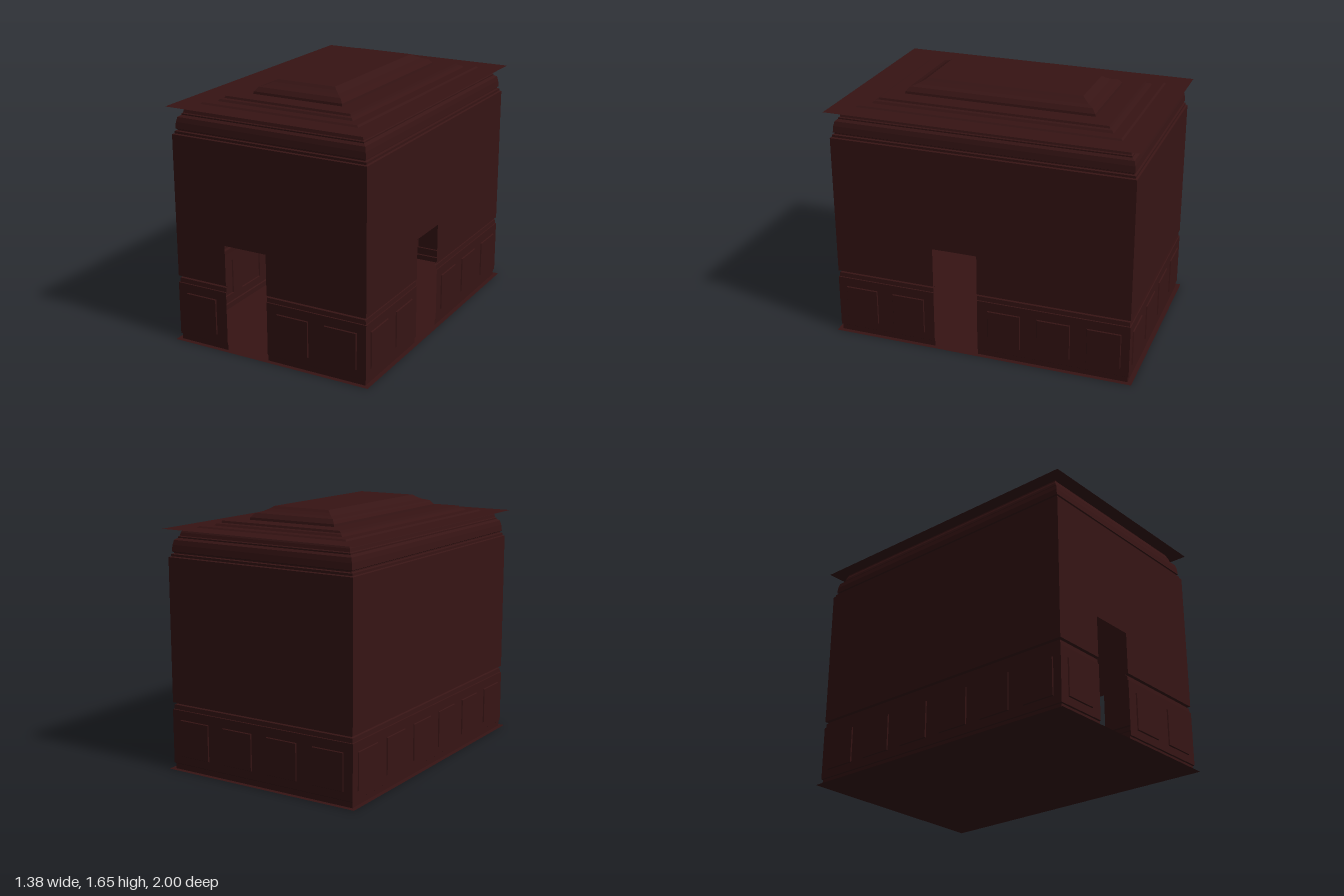
import * as THREE from 'three';

const material = new THREE.MeshStandardMaterial({ color: 0x361414, side: THREE.DoubleSide });
const EXTRA = 0.31; // the room is this much longer (each way) in z than in x
const DOOR = { left: -0.31, right: -0.015, top: 0.7 };
const PANEL = { half: 0.11, bottom: 0.09, top: 0.33, depth: 0.007 };

// flat-shaded mesh from a list of four-cornered faces
function quadMesh(name, quads) {
  const pos = [];
  for (const [a, b, c, d] of quads) pos.push(...a, ...b, ...c, ...a, ...c, ...d);
  const g = new THREE.BufferGeometry();
  g.setAttribute('position', new THREE.Float32BufferAttribute(pos, 3));
  g.computeVertexNormals();
  const m = new THREE.Mesh(g, material);
  m.name = name;
  return m;
}

// sweep a [half width, height] profile around the rectangular room
function rectSweep(name, profile) {
  const corner = ([r, y], k) => {
    const sx = [-1, 1, 1, -1][k % 4], sz = [1, 1, -1, -1][k % 4];
    return [sx * r, y, sz * (r + EXTRA)];
  };
  const quads = [];
  for (let i = 0; i + 1 < profile.length; i++)
    for (let k = 0; k < 4; k++)
      quads.push([corner(profile[i], k), corner(profile[i], k + 1),
        corner(profile[i + 1], k + 1), corner(profile[i + 1], k)]);
  return quadMesh(name, quads);
}

function rectPath(path, x0, x1, y0, y1) {
  path.moveTo(x0, y0);
  path.lineTo(x1, y0);
  path.lineTo(x1, y1);
  path.lineTo(x0, y1);
  path.closePath();
  return path;
}

// one wall facing +z, later turned into place
function makeWall(name, isLong, hasDoor) {
  const wall = new THREE.Group();
  wall.name = name;
  const along = r => r + (isLong ? EXTRA : 0);
  const out = r => r + (isLong ? 0 : EXTRA);

  // horizontal mouldings and plain wall, broken at the doorway
  const bands = (label, profile) => {
    const quads = [];
    for (let i = 0; i + 1 < profile.length; i++) {
      const [[r0, y0], [r1, y1]] = [profile[i], profile[i + 1]];
      const whole = [[-along(r0), along(r0), -along(r1), along(r1)]];
      const split = [[-along(r0), DOOR.left, -along(r1), DOOR.left],
        [DOOR.right, along(r0), DOOR.right, along(r1)]];
      for (const [a, b, c, d] of hasDoor && y0 < DOOR.top ? split : whole)
        quads.push([[a, y0, out(r0)], [b, y0, out(r0)], [d, y1, out(r1)], [c, y1, out(r1)]]);
    }
    wall.add(quadMesh(label, quads));
  };
  bands('skirting', [[0.66, 0], [0.66, 0.035], [0.667, 0.04]]);
  bands('chairRail', [[0.667, 0.39], [0.661, 0.392], [0.659, 0.42], [0.648, 0.425],
    [0.648, 0.431], [0.666, 0.435]]);
  bands('upperWall', [[0.666, 0.435], [0.666, DOOR.top], [0.666, 1.355]]);

  // wainscot with panel openings
  const R = 0.667, z = out(R), count = isLong ? 6 : 4, pitch = isLong ? 0.325 : 0.33;
  const centres = [];
  for (let i = 0; i < count; i++) {
    const c = (i - (count - 1) / 2) * pitch;
    if (!(hasDoor && c > DOOR.left && c < DOOR.right)) centres.push(c);
  }
  const spans = hasDoor ? [[-along(R), DOOR.left], [DOOR.right, along(R)]] : [[-along(R), along(R)]];
  for (const [a, b] of spans) {
    const shape = rectPath(new THREE.Shape(), a, b, 0.04, 0.39);
    for (const c of centres)
      if (c > a && c < b)
        shape.holes.push(rectPath(new THREE.Path(), c - PANEL.half, c + PANEL.half, PANEL.bottom, PANEL.top));
    const m = new THREE.Mesh(new THREE.ShapeGeometry(shape), material);
    m.position.z = z;
    m.name = 'wainscot';
    wall.add(m);
  }

  // panels set back from the room side, with bevelled rims
  for (const c of centres) {
    const ring = (inset, dz) => [
      [c - PANEL.half + inset, PANEL.bottom + inset, z + dz], [c + PANEL.half - inset, PANEL.bottom + inset, z + dz],
      [c + PANEL.half - inset, PANEL.top - inset, z + dz], [c - PANEL.half + inset, PANEL.top - inset, z + dz]];
    const rim = ring(0, 0), face = ring(0.004, PANEL.depth);
    const quads = [face];
    for (let k = 0; k < 4; k++) quads.push([rim[k], rim[(k + 1) % 4], face[(k + 1) % 4], face[k]]);
    wall.add(quadMesh('wainscotPanel', quads));
  }
  return wall;
}

export function createModel() {
  const room = new THREE.Group();
  room.name = 'panelledRoom';

  // four walls, doorways in the front and left ones
  [['frontWall', false, true], ['leftWall', true, true], ['backWall', false, false], ['rightWall', true, false]]
    .forEach(([name, isLong, hasDoor], i) => {
      const wall = makeWall(name, isLong, hasDoor);
      wall.rotation.y = i * Math.PI / 2;
      room.add(wall);
    });

  // floor
  const floor = new THREE.Mesh(new THREE.PlaneGeometry(1.38, 2).rotateX(-Math.PI / 2), material);
  floor.name = 'floor';
  room.add(floor);

  // cornice
  room.add(rectSweep('cornice', [[0.666, 1.355], [0.655, 1.36], [0.655, 1.374], [0.642, 1.378], [0.642, 1.385],
    [0.651, 1.39], [0.647, 1.43], [0.64, 1.46], [0.622, 1.472], [0.622, 1.48], [0.615, 1.485],
    [0.61, 1.505], [0.602, 1.52], [0.6, 1.53]]));

  // stepped tray ceiling, coved towards the top
  room.add(rectSweep('ceiling', [[0.69, 1.53], [0.54, 1.53], [0.53, 1.54], [0.465, 1.54], [0.455, 1.553],
    [0.435, 1.557], [0.43, 1.57], [0.31, 1.57], [0.307, 1.585], [0.295, 1.6], [0.285, 1.612],
    [0.25, 1.622], [0.22, 1.637], [0.2, 1.652]]));
  const top = new THREE.Mesh(new THREE.PlaneGeometry(0.4, 1.02).rotateX(-Math.PI / 2), material);
  top.position.y = 1.652;
  top.name = 'ceilingCentre';
  room.add(top);

  return room;
}
